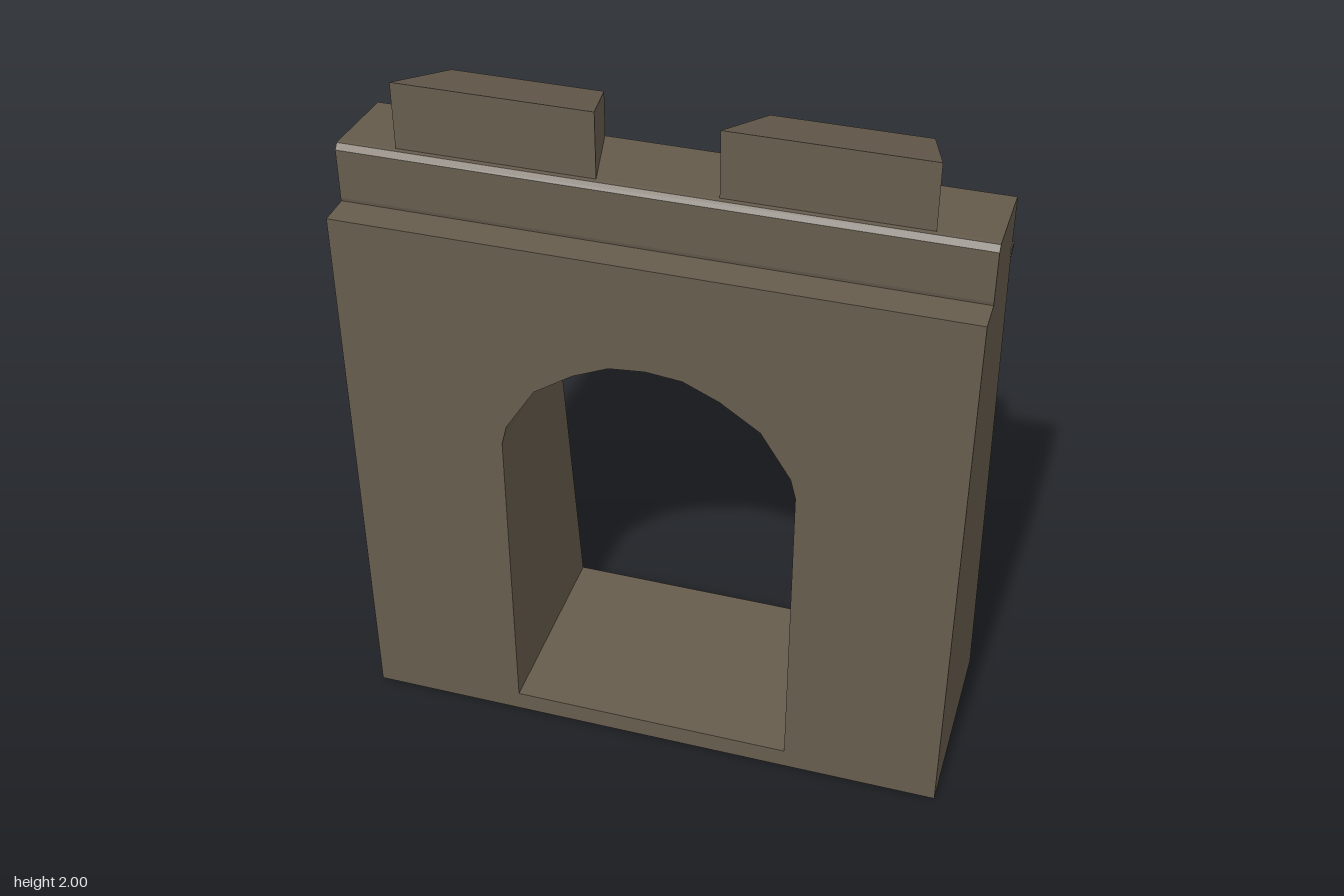
import * as THREE from 'three';

const HALF = 0.857, TOP = 1.645, FRONT = 0.31;
const backZ = (y) => -0.28 + 0.134 * y; // leaning rear face

// Outline of the arched opening, counter-clockwise
function openingPoints() {
  const right = [[0.41, 0.06], [0.41, 1.01], [0.395, 1.07], [0.31, 1.205], [0.2, 1.28], [0.1, 1.325]];
  const left = right.map(([x, y]) => [-x, y]).reverse();
  return [...right, [0, 1.335], ...left].map(([x, y]) => new THREE.Vector2(x, y));
}

// Rewrites every vertex by a rule, then refreshes the normals
function reshape(geo, rule) {
  const p = geo.attributes.position, v = new THREE.Vector3();
  for (let i = 0; i < p.count; i++) {
    v.fromBufferAttribute(p, i);
    rule(v);
    p.setXYZ(i, v.x, v.y, v.z);
  }
  geo.computeVertexNormals();
  return geo;
}

// Extrudes a (z, y) profile along x, centred on x = 0
function alongX(profile, width) {
  const shape = new THREE.Shape(profile.map(([z, y]) => new THREE.Vector2(z, y)));
  const geo = new THREE.ExtrudeGeometry(shape, { depth: width, bevelEnabled: false });
  return geo.translate(0, 0, -width / 2).rotateY(-Math.PI / 2);
}

// Wall with an arched hole; the rear cap is pushed onto the leaning plane
function wallGeometry() {
  const shape = new THREE.Shape([[-HALF, 0], [HALF, 0], [HALF, TOP], [-HALF, TOP]].map((p) => new THREE.Vector2(...p)));
  shape.holes.push(new THREE.Path(openingPoints().reverse()));
  const geo = new THREE.ExtrudeGeometry(shape, { depth: 1, bevelEnabled: false });
  return reshape(geo, (v) => { v.z = v.z > 0.5 ? FRONT : backZ(v.y); });
}

// Bevelled moulding swept round the opening on the rear face
function trimGeometry() {
  const path = openingPoints(), n = path.length;
  const profile = [[0, -0.01], [0, 0.014], [0.018, 0.03], [0.05, 0.03], [0.075, 0.012], [0.075, -0.01]];
  const m = profile.length, pos = [], idx = [];
  const normal = (a, b) => new THREE.Vector2(b.y - a.y, a.x - b.x).normalize();
  path.forEach((p, i) => {
    const n1 = normal(path[(i + n - 1) % n], p), n2 = normal(p, path[(i + 1) % n]);
    const miter = n1.clone().add(n2).divideScalar(1 + n1.dot(n2));
    for (const [offset, height] of profile) {
      const y = Math.max(0.002, p.y + miter.y * offset);
      pos.push(p.x + miter.x * offset, y, backZ(y) - height);
    }
    for (let k = 0; k < m - 1; k++) {
      const a = i * m + k, b = ((i + 1) % n) * m + k;
      idx.push(a, b, a + 1, b, b + 1, a + 1);
    }
  });
  const geo = new THREE.BufferGeometry();
  geo.setAttribute('position', new THREE.Float32BufferAttribute(pos, 3));
  geo.setIndex(idx);
  const flat = geo.toNonIndexed();
  flat.computeVertexNormals();
  return flat;
}

// Battlement block, sloping down and narrowing toward the rear
function merlonGeometry() {
  const geo = alongX([[-0.062, 1.78], [0.19, 1.78], [0.19, 2], [-0.062, 1.92]], 2);
  return reshape(geo, (v) => { v.x *= 0.21 + ((v.z + 0.062) / 0.252) * 0.06; });
}

export function createModel() {
  const group = new THREE.Group();
  const stone = new THREE.MeshStandardMaterial({ color: 0x665c4d });
  stone.name = 'stone';
  const add = (name, geo, x = 0) => {
    const mesh = new THREE.Mesh(geo, stone);
    mesh.name = name;
    mesh.position.x = x;
    group.add(mesh);
  };

  add('wall', wallGeometry());
  add('archTrim', trimGeometry());

  // Parapet course and the thin ledge beneath its rear edge
  add('parapet', alongX([
    [-0.062, 1.64], [0.215, 1.64], [0.218, 1.655], [0.218, 1.797], [0.205, 1.812], [0.19, 1.812], [-0.055, 1.795], [-0.062, 1.787],
  ], HALF * 2));
  add('rearLedge', alongX([[-0.076, 1.64], [-0.04, 1.63], [-0.04, 1.655], [-0.076, 1.652]], HALF * 2 + 0.006));

  // Pair of battlements
  add('merlonLeft', merlonGeometry(), 0.43);
  add('merlonRight', merlonGeometry(), -0.43);
  return group;
}
